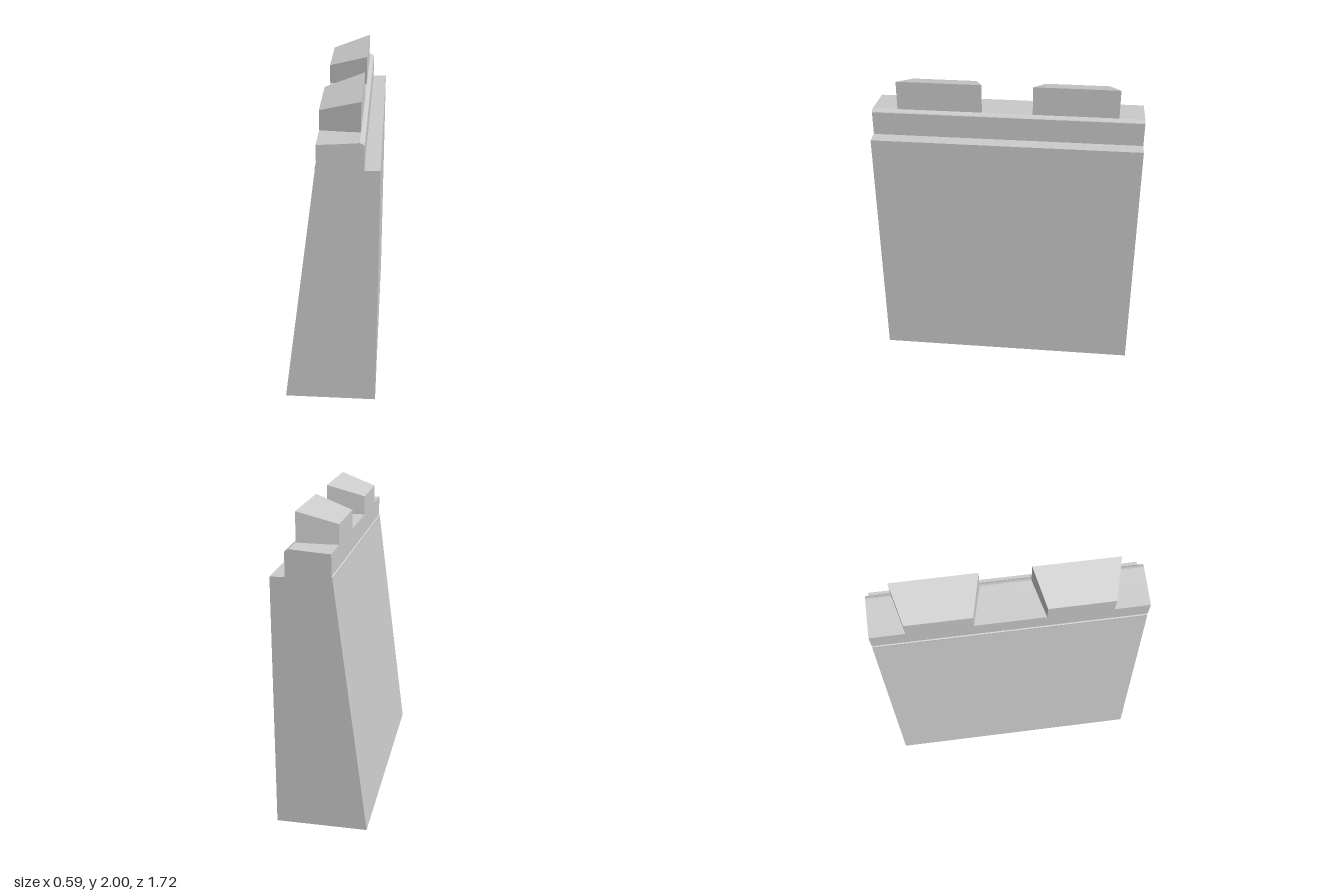
import * as THREE from 'three';

const grey = new THREE.MeshStandardMaterial({ color: 0xcccccc, side: THREE.DoubleSide });

// Solid between two four-cornered loops, listed counter-clockwise seen from above
function loft(name, bottom, top, closedBase) {
  const pos = [];
  const quad = (a, b, c, d) => [a, b, c, a, c, d].forEach((p) => pos.push(...p));
  for (let i = 0; i < 4; i++) {
    const j = (i + 1) % 4;
    quad(bottom[i], bottom[j], top[j], top[i]);
  }
  quad(...top);
  if (closedBase) quad(...[...bottom].reverse());
  const geo = new THREE.BufferGeometry();
  geo.setAttribute('position', new THREE.Float32BufferAttribute(pos, 3));
  geo.computeVertexNormals();
  const mesh = new THREE.Mesh(geo, grey);
  mesh.name = name;
  return mesh;
}

// Profile in x/y run along the full depth
function bar(name, shape, depth) {
  const geo = new THREE.ExtrudeGeometry(shape, { depth, bevelEnabled: false, curveSegments: 6 });
  geo.translate(0, 0, -depth / 2);
  const mesh = new THREE.Mesh(geo, grey);
  mesh.name = name;
  return mesh;
}

export function createModel() {
  const group = new THREE.Group();
  group.name = 'battlementWall';
  const D = 0.86;

  // Hollow wall: one battered side, open underneath
  const rect = (x0, x1, y) => [[x0, y, D], [x1, y, D], [x1, y, -D], [x0, y, -D]];
  group.add(loft('wall', rect(-0.295, 0.292, 0), rect(-0.083, 0.292, 1.645), false));

  // Coping with a slightly dished top, worn outer edge and a thin lip at its foot
  const coping = new THREE.Shape();
  coping.moveTo(-0.084, 1.645);
  coping.lineTo(0.2, 1.645);
  coping.lineTo(0.2, 1.797);
  coping.quadraticCurveTo(0.195, 1.807, 0.172, 1.814);
  coping.quadraticCurveTo(0.04, 1.802, -0.077, 1.796);
  coping.lineTo(-0.077, 1.662);
  coping.lineTo(-0.084, 1.657);
  group.add(bar('coping', coping, 2 * D));

  // Two merlons, tapering in plan and sloping down to the battered side
  for (const side of [1, -1]) {
    const loop = (yLow, yHigh) => [
      [-0.077, yLow, side * 0.43 + 0.207],
      [0.172, yHigh, side * 0.43 + 0.27],
      [0.172, yHigh, side * 0.43 - 0.27],
      [-0.077, yLow, side * 0.43 - 0.207],
    ];
    group.add(loft(side > 0 ? 'frontMerlon' : 'backMerlon', loop(1.78, 1.78), loop(1.92, 2), true));
  }
  return group;
}
